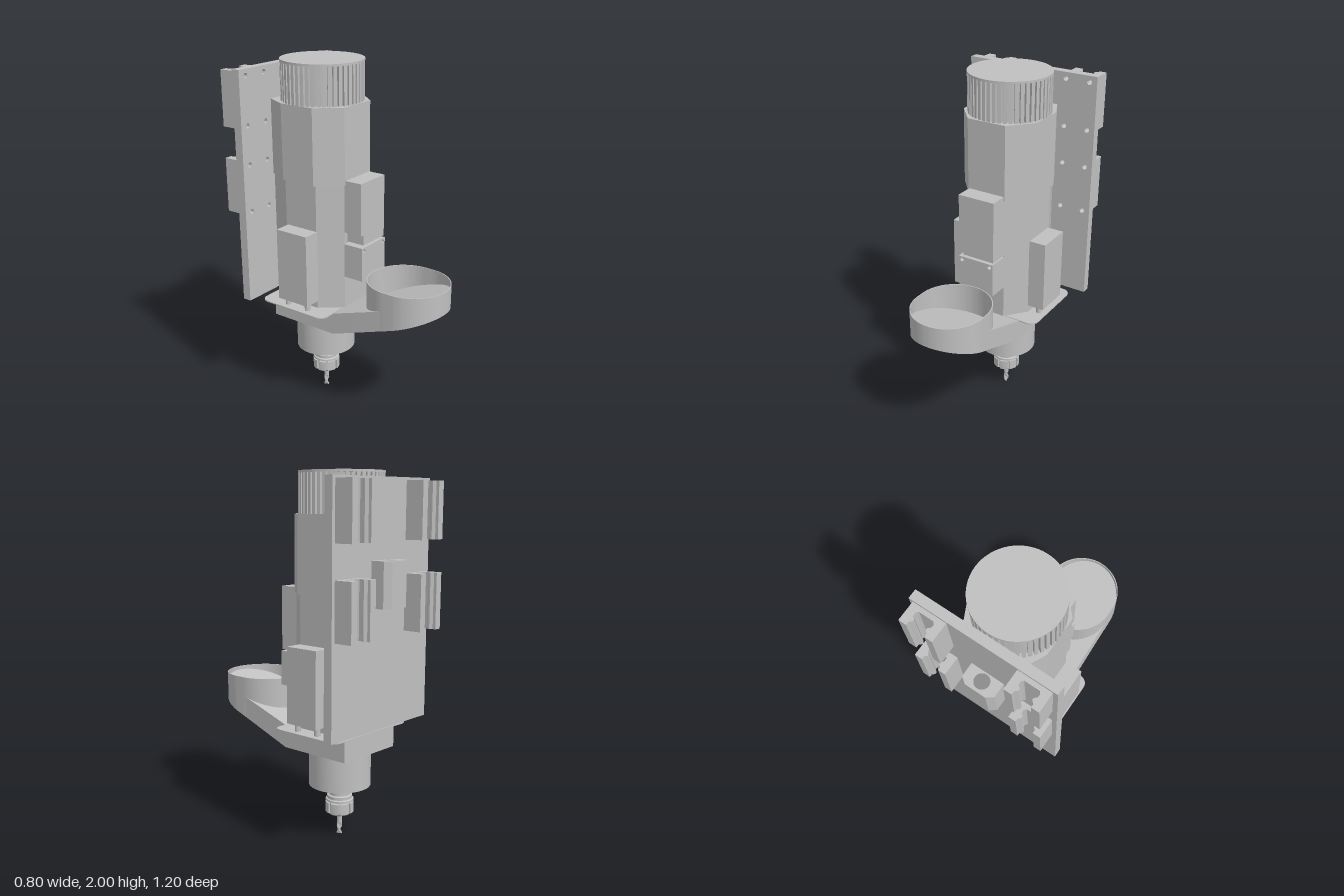
import * as THREE from 'three';
import { toCreasedNormals } from 'three/addons/utils/BufferGeometryUtils.js';

const metal = new THREE.MeshStandardMaterial({ color: 0xc0c0c0 });
metal.name = 'light grey metal';
const CZ = -0.215; // spindle axis

export function createModel() {
  const model = new THREE.Group();
  model.name = 'millingSpindle';

  const add = (name, geo, x = 0, y = 0, z = 0) => {
    const m = new THREE.Mesh(geo, metal);
    m.name = name;
    m.position.set(x, y, z);
    model.add(m);
    return m;
  };
  const box = (name, x0, x1, y0, y1, z0, z1) =>
    add(name, new THREE.BoxGeometry(x1 - x0, y1 - y0, z1 - z0), (x0 + x1) / 2, (y0 + y1) / 2, (z0 + z1) / 2);
  const poly = (pts) => new THREE.Shape(pts.map((p) => new THREE.Vector2(p[0], p[1])));
  const hole = (x, y, r) => new THREE.Path().absarc(x, y, r, 0, Math.PI * 2, true);
  const extrude = (shape, depth, seg = 20) =>
    new THREE.ExtrudeGeometry(shape, { depth, bevelEnabled: false, curveSegments: seg });
  // Plan outline (x, z) raised from y0 to y1
  const prism = (shape, y0, y1, seg) => extrude(shape, y1 - y0, seg).rotateX(Math.PI / 2).translate(0, y1, 0);
  const mirrored = (half) => poly([...half, ...half.slice().reverse().map(([x, z]) => [-x, z])]);
  // Round outline with straight-sided grooves
  const gear = (n, outer, inner, slot) => {
    const pts = [];
    const step = (Math.PI * 2) / n;
    const put = (r, a) => pts.push([r * Math.cos(a), r * Math.sin(a)]);
    for (let i = 0; i < n; i++) {
      const a = i * step;
      put(inner, a);
      put(inner, a + step * slot);
      for (let k = 0; k <= 3; k++) put(outer, a + step * (slot + ((1 - slot) * k) / 3));
    }
    return poly(pts);
  };

  // Mounting plate with screw holes
  const plate = poly([[-0.4, 0.66], [0.395, 0.66], [0.395, 1.965], [-0.4, 1.965]]);
  for (const y of [1.185, 1.45, 1.665, 1.93]) {
    for (const x of [-0.35, -0.21, 0.21, 0.35]) plate.holes.push(hole(x, y, 0.014));
  }
  add('mountingPlate', toCreasedNormals(extrude(plate, 0.05), 0.6), 0, 0, -0.495);

  // Linear bearing blocks
  const carriage = mirrored([
    [0.0925, -0.495], [0.0925, -0.6], [0.05, -0.6], [0.05, -0.583], [0.036, -0.57],
    [0.036, -0.56], [0.05, -0.547], [0.05, -0.53], [0.04, -0.519],
  ]);
  for (const x of [-0.282, 0.282]) {
    for (const y of [1.165, 1.645]) add('bearingBlock', toCreasedNormals(prism(carriage, y, y + 0.305), 0.4), x);
  }

  // Ball screw nut housing
  const nut = mirrored([[0.095, -0.495], [0.095, -0.573], [0.06, -0.6]]);
  nut.holes.push(hole(0, -0.543, 0.041));
  add('screwNutHousing', toCreasedNormals(prism(nut, 1.31, 1.55), 0.5));

  // Motor body in two eight-sided stages
  const upper = mirrored([[0.115, 0.018], [0.226, -0.11], [0.226, -0.32], [0.165, -0.443]]);
  add('upperMotorBody', prism(upper, 1.36, 1.78));
  const lower = mirrored([[0.11, 0.01], [0.207, -0.11], [0.207, -0.32], [0.155, -0.443]]);
  add('lowerMotorBody', prism(lower, 0.63, 1.36));

  // Finned fan cap
  add('fanCapFins', toCreasedNormals(prism(gear(48, 0.228, 0.205, 0.35), 1.78, 1.99), 0.4), 0, 0, CZ);
  add('fanCapLid', new THREE.CylinderGeometry(0.229, 0.229, 0.012, 64), 0, 1.994, CZ);

  // Terminal boxes on the front
  const terminal = poly([[-0.085, 1.03], [0.11, 1.03], [0.11, 1.385], [-0.11, 1.385], [-0.11, 1.09], [-0.085, 1.09]]);
  add('terminalBox', extrude(terminal, 0.115), 0, 0, 0.005);
  const connector = poly([[-0.11, 0.825], [0.11, 0.825], [0.11, 1.02], [-0.11, 1.02]]);
  for (const x of [-0.09, 0.09]) connector.holes.push(hole(x, 1.0, 0.011));
  add('connectorBox', toCreasedNormals(extrude(connector, 0.12), 0.6), 0, 0, 0.008);

  // Side cylinders housings and their rods
  for (const s of [-1, 1]) {
    box('sideHousing', Math.min(s * 0.205, s * 0.305), Math.max(s * 0.205, s * 0.305), 0.68, 1.095, -0.31, -0.105);
    for (const z of [-0.14, -0.28]) {
      add('housingRod', new THREE.CylinderGeometry(0.016, 0.016, 0.06, 16), s * 0.26, 0.66, z);
    }
  }

  // Thin rounded flange
  const r = 0.05;
  const flange = new THREE.Shape()
    .absarc(0.307 - r, -r, r, 0, Math.PI / 2)
    .absarc(-0.307 + r, -r, r, Math.PI / 2, Math.PI)
    .absarc(-0.307 + r, -0.448 + r, r, Math.PI, Math.PI * 1.5)
    .absarc(0.307 - r, -0.448 + r, r, Math.PI * 1.5, Math.PI * 2);
  add('flange', toCreasedNormals(prism(flange, 0.628, 0.635, 8), 0.5));

  // Clamp base and sloping arm with a round front
  box('clampBase', -0.21, 0.21, 0.505, 0.63, -0.425, 0);
  const floorY = (z) => 0.505 + 0.36 * z;
  const shapeHeights = (geo, bottom, top) => {
    const p = geo.attributes.position;
    for (let i = 0; i < p.count; i++) p.setY(i, p.getY(i) > 0.5 ? top(p.getZ(i)) : bottom(p.getZ(i)));
    geo.computeVertexNormals();
    return toCreasedNormals(geo, 0.5);
  };
  const arm = new THREE.Shape().moveTo(-0.21, 0).lineTo(0.21, 0).absarc(0, 0.387, 0.21, 0, Math.PI);
  add('slopingArm', shapeHeights(prism(arm, 0, 1, 40), floorY, (z) => 0.632 + 0.335 * z));

  // Thin-walled hose ring
  const oval = (T, rad) => new T()
    .absarc(0, 0.387, rad, 0, Math.PI)
    .absarc(0, 0.34, rad, Math.PI, Math.PI * 2)
    .closePath();
  const ring = oval(THREE.Shape, 0.211);
  ring.holes.push(oval(THREE.Path, 0.206));
  add('hoseRing', shapeHeights(prism(ring, 0, 1, 40), floorY, () => 0.852));

  // Spindle nose and collet neck
  const nose = [[0, 0.51], [0.172, 0.51], [0.172, 0.295], [0.1, 0.295], [0.1, 0.275], [0.088, 0.265], [0.07, 0.265],
    [0.07, 0.252], [0.058, 0.248], [0.058, 0.235], [0.07, 0.231], [0.07, 0.215], [0.078, 0.21], [0.078, 0.2],
    [0.055, 0.196], [0.055, 0.18], [0, 0.18]].reverse().map(([a, b]) => new THREE.Vector2(a, b));
  add('spindleNose', toCreasedNormals(new THREE.LatheGeometry(nose, 48), 0.4), 0, 0, CZ);

  // Slotted collet nut with a tapered tip
  add('colletNut', toCreasedNormals(prism(gear(8, 0.079, 0.068, 0.22), 0.134, 0.192), 0.5), 0, 0, CZ);
  add('colletTip', new THREE.CylinderGeometry(0.072, 0.06, 0.014, 40), 0, 0.128, CZ);

  // Cutting tool: shank and twisted flutes
  add('toolShank', new THREE.CylinderGeometry(0.014, 0.014, 0.06, 20), 0, 0.095, CZ);
  const flutes = new THREE.BoxGeometry(0.028, 0.07, 0.012, 1, 20, 1);
  const fp = flutes.attributes.position;
  for (let i = 0; i < fp.count; i++) {
    const a = fp.getY(i) * 55;
    const x = fp.getX(i), z = fp.getZ(i);
    fp.setXYZ(i, x * Math.cos(a) - z * Math.sin(a), fp.getY(i), x * Math.sin(a) + z * Math.cos(a));
  }
  flutes.computeVertexNormals();
  add('toolFlutes', flutes, 0, 0.035, CZ);

  return model;
}
